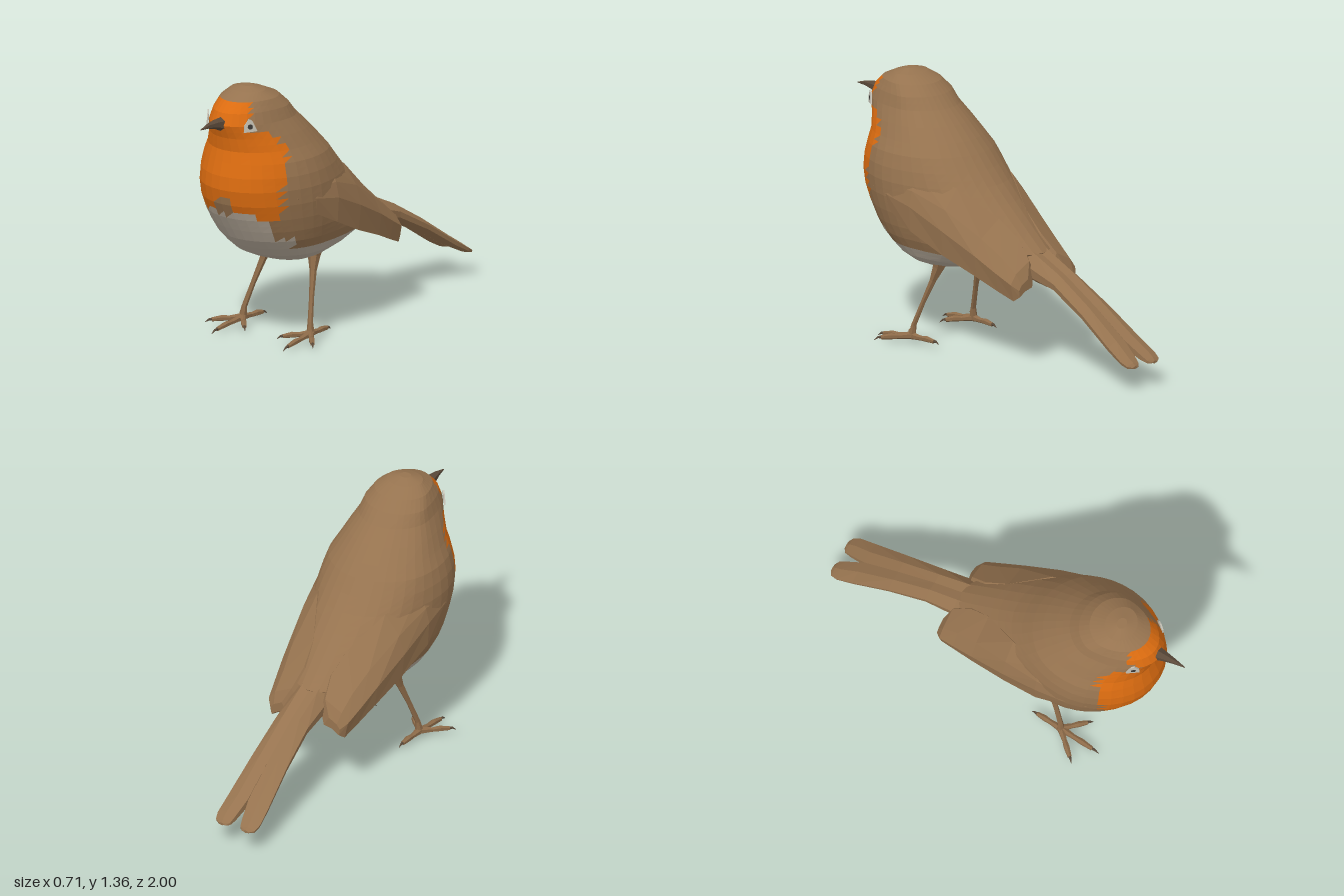
import * as THREE from 'three';

const mat = (name, color) => {
  const m = new THREE.MeshStandardMaterial({ color, flatShading: true });
  m.name = name;
  return m;
};
const V = (x, y, z) => new THREE.Vector3(x, y, z);
const lerp = THREE.MathUtils.lerp;

// Linear lookup in rows sorted by a rising first column
function lookup(rows, t) {
  let i = 0;
  while (i < rows.length - 2 && t > rows[i + 1][0]) i++;
  const a = rows[i], b = rows[i + 1];
  const k = THREE.MathUtils.clamp((t - a[0]) / (b[0] - a[0]), 0, 1);
  return a.map((v, j) => lerp(v, b[j], k));
}

// Closed skin over a row of equal-length rings; classify(centroid) picks a material group
function loft(rings, classify = () => 0) {
  const tris = [];
  const n = rings[0].length;
  for (let r = 0; r < rings.length - 1; r++) {
    for (let i = 0; i < n; i++) {
      const j = (i + 1) % n;
      const [a, b, c, d] = [rings[r][i], rings[r][j], rings[r + 1][j], rings[r + 1][i]];
      tris.push([a, b, c], [a, c, d]);
    }
  }
  for (const [ring, flip] of [[rings[0], true], [rings[rings.length - 1], false]]) {
    const mid = ring.reduce((s, p) => s.add(p), V(0, 0, 0)).divideScalar(n);
    ring.forEach((p, i) => {
      const q = ring[(i + 1) % n];
      tris.push(flip ? [mid, q, p] : [mid, p, q]);
    });
  }
  // Turn every face outward
  const origin = rings[0][0];
  let volume = 0;
  for (const t of tris) {
    const [a, b, c] = t.map(p => p.clone().sub(origin));
    volume += a.dot(b.cross(c));
  }
  if (volume < 0) tris.forEach(t => t.reverse());

  const groups = [];
  for (const t of tris) {
    const k = classify(V(0, 0, 0).add(t[0]).add(t[1]).add(t[2]).divideScalar(3));
    (groups[k] ||= []).push(...t);
  }
  const geo = new THREE.BufferGeometry().setFromPoints(groups.flat());
  let start = 0;
  groups.forEach((g, k) => { geo.addGroup(start, g.length, k); start += g.length; });
  geo.computeVertexNormals();
  return geo;
}

// Tapered limb through points [x, y, z, radius]
function limb(pts, sides = 6) {
  const ps = pts.map(p => V(p[0], p[1], p[2]));
  return loft(ps.map((p, i) => {
    const dir = ps[Math.min(i + 1, ps.length - 1)].clone().sub(ps[Math.max(i - 1, 0)]).normalize();
    const u = dir.clone().cross(V(1, 0, 0)).normalize();
    const v = dir.clone().cross(u);
    return Array.from({ length: sides }, (_, k) => {
      const a = (k / sides) * Math.PI * 2;
      return p.clone().addScaledVector(u, Math.cos(a) * pts[i][3]).addScaledVector(v, Math.sin(a) * pts[i][3]);
    });
  }));
}

// Body rings: height, front z, back z, half width, z of widest point
const BODY = [
  [0.398, 0.37, 0.31, 0.03, 0.34], [0.41, 0.46, 0.22, 0.14, 0.34], [0.435, 0.53, 0.12, 0.2, 0.35],
  [0.47, 0.605, -0.06, 0.24, 0.36], [0.52, 0.665, -0.24, 0.27, 0.38], [0.57, 0.715, -0.29, 0.292, 0.4],
  [0.63, 0.755, -0.22, 0.308, 0.42], [0.7, 0.8, -0.14, 0.32, 0.43], [0.78, 0.838, -0.05, 0.328, 0.44],
  [0.86, 0.855, 0.035, 0.328, 0.45], [0.93, 0.85, 0.1, 0.318, 0.46], [1.0, 0.833, 0.16, 0.298, 0.47],
  [1.06, 0.82, 0.215, 0.265, 0.49], [1.13, 0.832, 0.285, 0.23, 0.52], [1.2, 0.86, 0.36, 0.192, 0.55],
  [1.26, 0.835, 0.415, 0.172, 0.56], [1.31, 0.785, 0.47, 0.142, 0.6], [1.345, 0.71, 0.55, 0.095, 0.63],
  [1.362, 0.66, 0.61, 0.03, 0.635],
];
function bodyPoint(y, a) {
  const [, f, b, w, zc] = lookup(BODY, y);
  const c = Math.cos(a);
  return V(w * Math.sin(a), y, zc + c * (c > 0 ? f - zc : zc - b));
}

// Plumage: 0 brown, 1 orange face and breast, 2 pale belly
const ORANGE_WIDTH = [
  [0.66, 0.24], [0.75, 0.26], [0.95, 0.275], [1.05, 0.25], [1.16, 0.19], [1.18, 0.115], [1.25, 0.13], [1.31, 0.1],
];
function plumage({ x, y, z }) {
  const ax = Math.abs(x);
  if (y < 0.525) return 2;
  if (z > 0.55 && y < (ax < 0.19 ? 0.735 - Math.abs(ax - 0.1) * 0.25 : 0.58)) return 2;
  if (ax < 0.08 && y < 0.85 - ax * 1.3) return 0;
  if (z > 0.62 && y > 0.69 && y < 1.31 && ax < lookup(ORANGE_WIDTH, y)[1]) return 1;
  return 0;
}

// Wing sections: z, then x and y of upper, outer, lower edges
const WING = [
  [0.6, 0.28, 0.84, 0.302, 0.81, 0.285, 0.78], [0.48, 0.29, 0.88, 0.33, 0.79, 0.318, 0.71],
  [0.32, 0.27, 0.92, 0.337, 0.76, 0.328, 0.63], [0.12, 0.2, 0.87, 0.315, 0.67, 0.298, 0.535],
  [-0.08, 0.1, 0.73, 0.28, 0.57, 0.262, 0.455], [-0.2, 0.08, 0.64, 0.255, 0.5, 0.235, 0.4],
  [-0.29, 0.1, 0.55, 0.235, 0.45, 0.215, 0.362], [-0.32, 0.14, 0.47, 0.205, 0.42, 0.2, 0.385],
];

// Tail sections: z, top y, bottom y, inner x, outer x
const TAIL = [
  [0, 0.72, 0.5, 0, 0.1], [-0.29, 0.57, 0.43, 0, 0.1], [-0.45, 0.495, 0.405, 0, 0.095],
  [-0.66, 0.37, 0.3, 0, 0.105], [-0.86, 0.235, 0.175, 0.001, 0.12], [-0.95, 0.175, 0.13, 0.02, 0.125],
  [-0.985, 0.15, 0.118, 0.03, 0.115], [-1.0, 0.135, 0.12, 0.05, 0.09],
];

export function createModel() {
  const model = new THREE.Group();
  const brown = mat('brown plumage', 0x96734f);
  const orange = mat('orange breast', 0xdc6c10);
  const pale = mat('pale belly', 0xb5a999);
  const legBrown = mat('leg brown', 0x8c6a48);
  const dark = mat('dark horn', 0x5b4a3a);
  const eyeRim = mat('eye rim', 0xc4c0b4);
  const pupilGrey = mat('pupil', 0x3a3836);
  const add = (name, geo, m, parent = model) => {
    const mesh = new THREE.Mesh(geo, m);
    mesh.name = name;
    parent.add(mesh);
    return mesh;
  };

  // Body and head, with each ring interval halved for finer colour edges
  const heights = BODY.flatMap((r, i) => (i ? [(r[0] + BODY[i - 1][0]) / 2, r[0]] : [r[0]]));
  const SEG = 36;
  const rings = heights.map((y, r) => Array.from({ length: SEG }, (_, i) => {
    const p = bodyPoint(y, (i / SEG) * Math.PI * 2);
    const wobble = 1 + 0.008 * Math.sin(r * 12.9 + Math.min(i, SEG - i) * 7.3);
    return V(p.x * wobble, p.y, p.z);
  }));
  add('body', loft(rings, plumage), [brown, orange, pale]);

  // Beak
  add('beak', limb([[0, 1.2, 0.82, 0.042], [0, 1.212, 0.885, 0.026], [0, 1.214, 0.94, 0.014], [0, 1.207, 1, 0.002]]), dark);

  for (const s of [1, -1]) {
    const side = new THREE.Group();
    side.name = s > 0 ? 'leftSide' : 'rightSide';
    model.add(side);

    // Folded wing
    add('wing', loft(WING.map(([z, ux, uy, ox, oy, lx, ly]) => [
      V(s * ux, uy, z), V(s * lerp(ux, ox, 0.72), lerp(uy, oy, 0.5), z), V(s * ox, oy, z),
      V(s * lx, ly, z), V(s * (lx - 0.04), ly + 0.025, z), V(s * (ux - 0.03), uy - 0.05, z),
    ])), brown, side);

    // Tail half
    add('tailFeather', loft(TAIL.map(([z, t, b, i, o]) => [
      V(s * i, t - 0.01, z), V(s * lerp(i, o, 0.5), t, z), V(s * o, lerp(t, b, 0.4), z),
      V(s * o * 0.97, lerp(t, b, 0.75), z), V(s * lerp(i, o, 0.5), b, z), V(s * i, b + 0.008, z),
    ])), brown, side);

    // Leg
    add('leg', limb([
      [s * 0.145, 0.46, 0.28, 0.045], [s * 0.15, 0.41, 0.293, 0.032], [s * 0.165, 0.34, 0.318, 0.018],
      [s * 0.192, 0.22, 0.362, 0.013], [s * 0.217, 0.1, 0.402, 0.014], [s * 0.224, 0.04, 0.408, 0.022],
    ]), legBrown, side);

    // Toes and claws
    for (const [x, y, z] of [[0.235, 0.012, 0.635], [0.355, 0.03, 0.545], [0.105, 0.028, 0.53], [0.21, 0.035, 0.235]]) {
      const at = (k, dy, r) => [s * lerp(0.224, x, k), lerp(0.045, y, k) + dy, lerp(0.408, z, k), r];
      add('toe', limb([at(0, 0, 0.02), at(0.35, 0, 0.013), at(0.55, 0.004, 0.016), at(0.82, 0.002, 0.011)]), legBrown, side);
      add('claw', limb([at(0.8, 0.003, 0.009), at(0.9, 0.004, 0.006), at(1, -0.008, 0.001)], 5), dark, side);
    }

    // Eye plate and pupil
    const p = bodyPoint(1.2, 0.76);
    const eye = new THREE.Group();
    eye.name = 'eye';
    eye.position.set(s * (p.x + 0.003), p.y, p.z + 0.002);
    eye.lookAt(s * (p.x + 0.8), p.y + 0.05, p.z + 0.6);
    side.add(eye);
    const rim = new THREE.Shape([[-0.038, -0.024], [0.032, -0.03], [0.03, 0.005], [0.006, 0.04], [-0.012, 0.03]]
      .map(([x, y]) => new THREE.Vector2(-s * x, y)));
    add('eyeRim', new THREE.ExtrudeGeometry(rim, { depth: 0.008, bevelEnabled: false }), eyeRim, eye);
    add('pupil', new THREE.CircleGeometry(0.014, 8), pupilGrey, eye).position.z = 0.0095;
  }
  return model;
}
